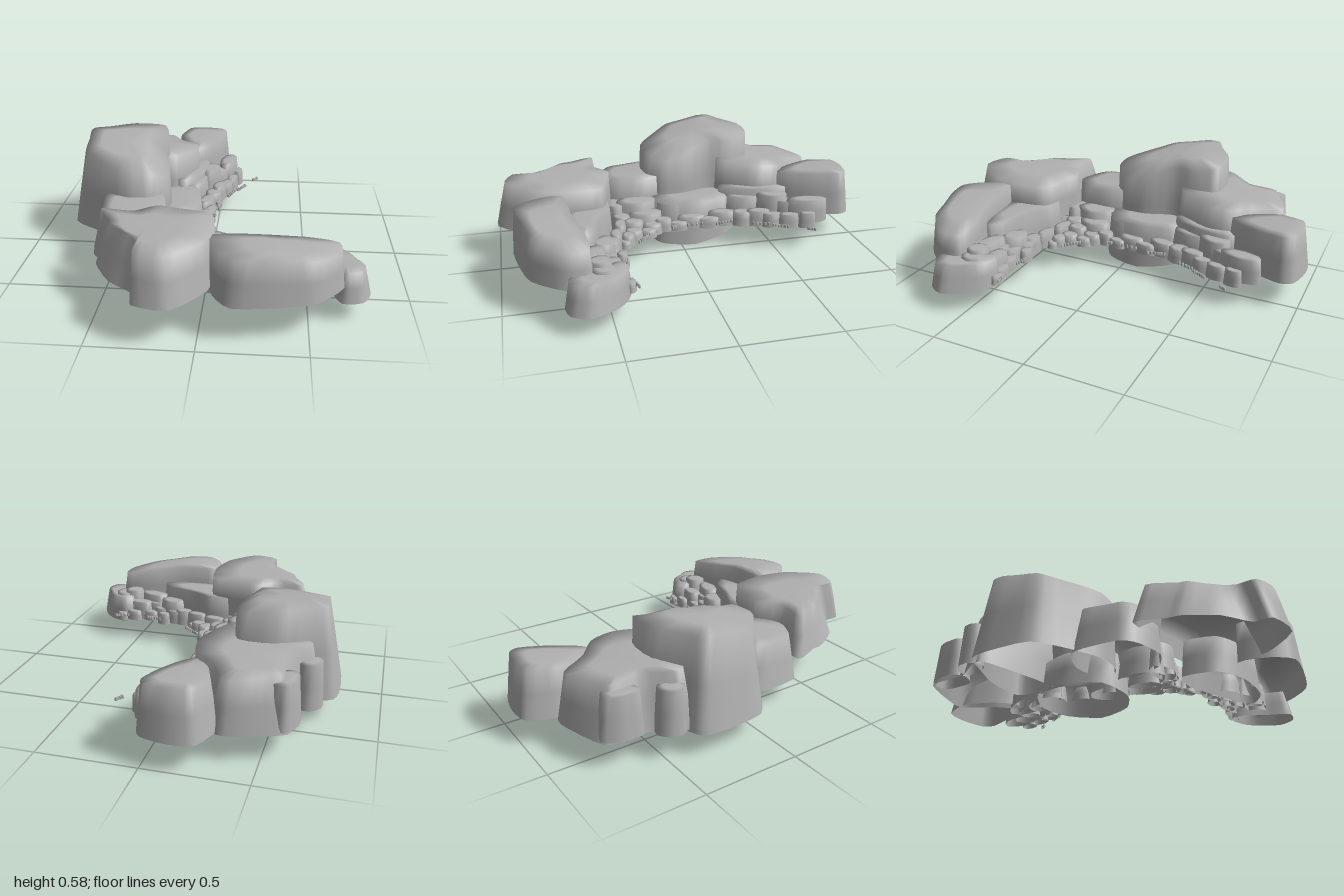
import * as THREE from 'three';

const stone = new THREE.MeshStandardMaterial({ color: 0xb0b0b0, side: THREE.DoubleSide });
stone.name = 'grey stone';

// small seeded generator for wobble
let seed = 7;
const rnd = () => (seed = (seed * 16807) % 2147483647) / 2147483647;

// wall profile: [share of the inset, share of the height]
const PROFILE = [[0, 0], [0.5, 0.5], [1, 0.975]];

// Open-bottomed rock shell over an outline of [x, z] points.
// top and bottom may be functions of (x, z); inset a function of the outward direction.
function rock(name, outline, bottom, top, inset = 0.04, steps = 3) {
  const at = (h, x, z) => (typeof h === 'function' ? h(x, z) : h);
  const curve = new THREE.CatmullRomCurve3(
    outline.map(([x, z]) => new THREE.Vector3(x, 0, z)), true, 'catmullrom', 0.35);
  const n = outline.length * steps;
  const ring = [];
  for (let i = 0; i < n; i++) ring.push(curve.getPoint(i / n));
  let area = 0, cx = 0, cz = 0;
  ring.forEach((p, i) => {
    const q = ring[(i + 1) % n];
    area += p.x * q.z - q.x * p.z;
    cx += p.x / n;
    cz += p.z / n;
  });
  if (area < 0) ring.reverse();
  const pos = [], idx = [];
  PROFILE.forEach(([s, h]) => ring.forEach((p) => {
    const d = Math.hypot(p.x - cx, p.z - cz);
    const k = 1 - (s * at(inset, (p.x - cx) / d, (p.z - cz) / d)) / d;
    const x = cx + (p.x - cx) * k, z = cz + (p.z - cz) * k;
    const b = at(bottom, p.x, p.z);
    pos.push(x, b + (at(top, x, z) - b) * h, z);
  }));
  // cap: one ring half way in, then the centre
  ring.forEach((p) => {
    const x = cx + (p.x - cx) * 0.5, z = cz + (p.z - cz) * 0.5;
    pos.push(x, at(top, x, z), z);
  });
  pos.push(cx, at(top, cx, cz), cz);
  const rows = PROFILE.length + 1, centre = rows * n;
  for (let i = 0; i < n; i++) {
    const j = (i + 1) % n;
    for (let r = 0; r < rows - 1; r++) {
      const a = r * n + i, b = r * n + j;
      idx.push(a, a + n, b, b, a + n, b + n);
    }
    idx.push((rows - 1) * n + i, centre, (rows - 1) * n + j);
  }
  const geo = new THREE.BufferGeometry();
  geo.setAttribute('position', new THREE.Float32BufferAttribute(pos, 3));
  geo.setIndex(idx);
  geo.computeVertexNormals();
  const mesh = new THREE.Mesh(geo, stone);
  mesh.name = name;
  return mesh;
}

// Small rock on a wobbly oval, turned by an angle
function pebble(name, x, z, rx, rz, bottom, top, turn = 0) {
  const pts = [], c = Math.cos(turn), s = Math.sin(turn);
  for (let i = 0; i < 8; i++) {
    const a = (i / 8) * Math.PI * 2, k = 0.92 + rnd() * 0.18;
    const u = Math.cos(a) * rx * k, v = Math.sin(a) * rz * k;
    pts.push([x + u * c - v * s, z + u * s + v * c]);
  }
  return rock(name, pts, bottom, top, Math.min(rx, rz) * 0.2, 2);
}

const { clamp } = THREE.MathUtils;
// inset that grows towards the given outward direction
const lean = (base, lx, lz) => (dx, dz) => base + Math.max(0, dx * lx) + Math.max(0, dz * lz);

export function createModel() {
  const model = new THREE.Group();
  model.name = 'rockFormation';

  // Large boulders
  model.add(
    rock('tallBoulder', [[-0.775, -0.36], [-0.66, -0.41], [-0.5, -0.465], [-0.31, -0.455], [-0.27, -0.32],
      [-0.28, -0.2], [-0.23, -0.05], [-0.235, 0.08], [-0.31, 0.16], [-0.45, 0.175], [-0.63, 0.09],
      [-0.775, -0.02], [-0.795, -0.24]], 0.12,
    (x, z) => 0.585 - 0.2 * clamp(z + 0.25, 0, 0.42) - 0.03 * (x + 0.7) - 0.8 * Math.max(0, x + 0.32),
    lean(0.015, -0.07, 0)),
    rock('backLeftBoulder', [[-0.61, -0.77], [-0.45, -0.83], [-0.31, -0.85], [-0.22, -0.69], [-0.13, -0.58],
      [-0.12, -0.45], [-0.21, -0.29], [-0.3, -0.24], [-0.68, -0.34], [-0.71, -0.41], [-0.63, -0.55],
      [-0.63, -0.69]], 0.13, (x, z) => 0.415 - 0.1 * (-0.5 - z), lean(0.015, -0.05, -0.03)),
    rock('backLedge', [[-0.65, -0.7], [-0.6, -0.78], [-0.52, -0.75], [-0.52, -0.6], [-0.6, -0.56],
      [-0.65, -0.6]], 0.14, 0.36, 0.02),
    rock('backBoulder', [[-0.25, -0.98], [-0.13, -1], [0, -0.97], [0.035, -0.9], [-0.02, -0.74],
      [-0.09, -0.62], [-0.16, -0.57], [-0.25, -0.66], [-0.31, -0.82]], 0.14,
    (x, z) => 0.388 - 0.06 * (z + 0.9), lean(0.015, -0.02, -0.02)),
    rock('leftBoulder', [[-0.6, 0.1], [-0.595, 0.34], [-0.52, 0.41], [-0.37, 0.44], [-0.25, 0.36],
      [-0.22, 0.2], [-0.27, 0.06], [-0.45, 0.02]], 0.11, (x, z) => 0.36 - 0.07 * (z - 0.1),
    lean(0.015, -0.04, 0)),
    rock('frontBoulder', [[-0.565, 0.4], [-0.52, 0.55], [-0.51, 0.62], [-0.42, 0.77], [-0.29, 0.87],
      [-0.28, 0.965], [-0.11, 0.995], [0.04, 0.82], [0.065, 0.63], [0.035, 0.45], [-0.13, 0.4],
      [-0.24, 0.37], [-0.37, 0.42]], 0.2, (x, z) => 0.43 + 0.03 * (z - 0.8), lean(0.01, -0.07, 0.05)),
    rock('frontRightBoulder', [[0.04, 0.66], [0.06, 0.82], [0.15, 0.925], [0.35, 0.905], [0.53, 0.855],
      [0.655, 0.71], [0.65, 0.58], [0.48, 0.58], [0.29, 0.63]], 0.18,
    (x) => 0.41 - 0.15 * Math.max(0, x - 0.28), lean(0.01, 0.015, 0.02)),
    rock('rightEndBoulder', [[0.67, 0.43], [0.735, 0.49], [0.792, 0.61], [0.75, 0.7], [0.65, 0.715],
      [0.6, 0.6], [0.53, 0.45], [0.58, 0.4]], 0.1, 0.245, lean(0.015, 0.02, 0.01)),
    rock('frontInnerBoulder', [[-0.11, 0.42], [0.02, 0.4], [0.1, 0.43], [0.21, 0.48], [0.35, 0.54],
      [0.39, 0.61], [0.29, 0.68], [0.08, 0.68], [-0.08, 0.6]], 0.1, 0.31, 0.02),
    rock('lowCentreBoulder', [[-0.4, -0.1], [-0.33, -0.3], [-0.2, -0.36], [-0.1, -0.27], [-0.055, -0.08],
      [-0.1, 0.1], [-0.2, 0.16], [-0.34, 0.1]],
    (x, z) => Math.max(0, 0.2 * (-0.07 - x) - 0.12 * Math.min(0, z + 0.05)), 0.25, 0.02),
  );

  // Middle tier: x, z, radius x, radius z, bottom, top, turn
  [
    [-0.67, -0.46, 0.06, 0.08, 0.13, 0.36, 0.5],
    [-0.16, -0.45, 0.08, 0.21, 0.12, 0.29, 0.25],
    [-0.06, -0.53, 0.065, 0.1, 0.12, 0.27, 0.2],
    [0.04, -0.7, 0.055, 0.12, 0.13, 0.26, 0.2],
    [-0.01, -0.61, 0.055, 0.09, 0.12, 0.24, 0.2],
    [-0.14, -0.38, 0.08, 0.13, 0.11, 0.25, 0.3],
    [-0.19, 0.24, 0.09, 0.13, 0.09, 0.25, 0],
    [-0.15, 0.03, 0.08, 0.11, 0.08, 0.24, 0],
    [-0.1, 0.2, 0.07, 0.1, 0.09, 0.21, 0],
    [-0.2, 0.36, 0.09, 0.06, 0.1, 0.24, 0],
    [0.44, 0.55, 0.11, 0.06, 0.14, 0.25, 0.35],
    [0.56, 0.54, 0.065, 0.07, 0.14, 0.27, 0],
    [0.62, 0.52, 0.06, 0.075, 0.13, 0.255, 0],
    [0.3, 0.49, 0.09, 0.065, 0.13, 0.24, 0.4],
    [0.5, 0.47, 0.08, 0.05, 0.12, 0.22, 0.2],
  ].forEach((r) => model.add(pebble('middleRock', ...r)));

  // Small rocks along the inner shore: x, z, radius x, radius z, top
  [
    [0.1, -0.68, 0.03, 0.05, 0.2], [0.07, -0.58, 0.035, 0.06, 0.19], [0.04, -0.49, 0.04, 0.06, 0.19],
    [0.0, -0.43, 0.04, 0.07, 0.2], [-0.03, -0.34, 0.05, 0.07, 0.19], [-0.06, -0.23, 0.045, 0.08, 0.19],
    [-0.03, -0.14, 0.03, 0.065, 0.17], [-0.06, -0.05, 0.045, 0.08, 0.18], [-0.03, 0.03, 0.03, 0.055, 0.16],
    [-0.05, 0.11, 0.045, 0.055, 0.18], [-0.02, 0.18, 0.045, 0.055, 0.17], [0.03, 0.21, 0.035, 0.05, 0.16],
    [-0.04, 0.28, 0.055, 0.065, 0.19], [0.04, 0.29, 0.045, 0.055, 0.17], [0.09, 0.33, 0.045, 0.04, 0.17],
    [-0.1, 0.34, 0.06, 0.055, 0.2], [0, 0.36, 0.07, 0.04, 0.2], [0.13, 0.35, 0.03, 0.03, 0.15],
    [0.12, 0.4, 0.065, 0.035, 0.2], [0.21, 0.43, 0.055, 0.04, 0.2], [0.27, 0.43, 0.05, 0.03, 0.19],
    [0.33, 0.4, 0.04, 0.03, 0.18], [0.36, 0.46, 0.055, 0.035, 0.19], [0.43, 0.44, 0.05, 0.03, 0.17],
    [0.53, 0.42, 0.055, 0.03, 0.17], [0.6, 0.4, 0.035, 0.025, 0.16], [0.41, 0.5, 0.06, 0.04, 0.21],
  ].forEach(([x, z, rx, rz, top]) => model.add(pebble('shoreRock', x, z, rx, rz, 0.115, top, 0.2)));

  // Loose crumbs in short trails: start x, z, end x, z, count
  [
    [0.2, -0.65, 0.22, -0.68, 4], [0.11, -0.48, 0.15, -0.55, 6], [0.06, -0.38, 0.09, -0.46, 5],
    [0.0, -0.27, 0.02, -0.18, 6], [0, -0.1, 0, -0.02, 4], [0, 0.05, 0.01, 0.07, 3],
    [0.07, 0.21, 0.15, 0.28, 7], [0.35, 0.375, 0.43, 0.39, 6], [0.56, 0.39, 0.63, 0.37, 5],
  ].forEach(([x0, z0, x1, z1, count]) => {
    for (let i = 0; i < count; i++) {
      const t = i / (count - 1);
      model.add(pebble('crumb', x0 + (x1 - x0) * t, z0 + (z1 - z0) * t, 0.009, 0.006, 0.14, 0.155, t * 3));
    }
  });

  return model;
}
